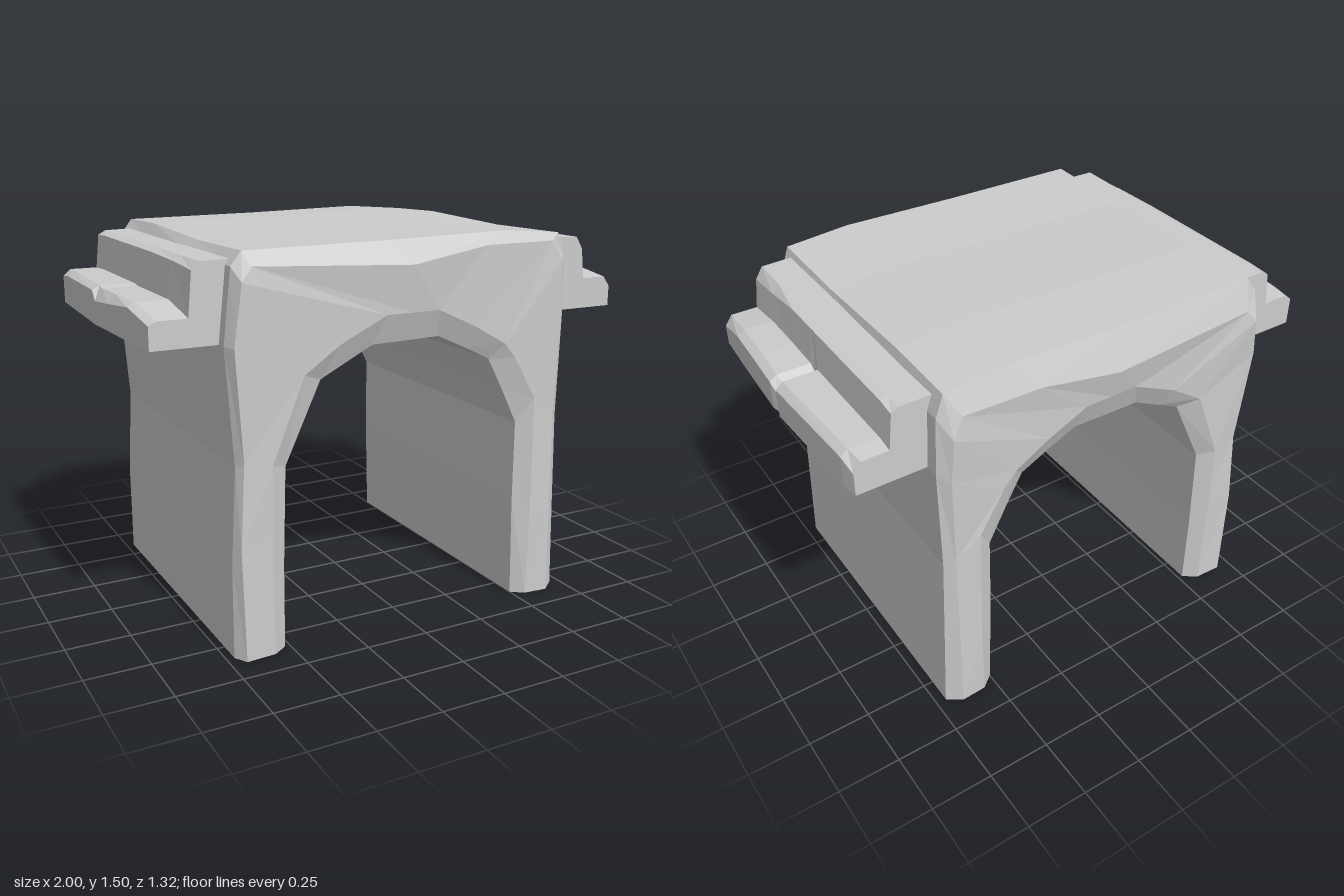
import * as THREE from 'three';

const material = new THREE.MeshStandardMaterial({ color: 0xcccccc, flatShading: true });

// Lofts sections (front to back). Each section pairs an upper edge with a lower edge,
// both running from -x to +x; the two ends are closed with strips between the edges.
function loft(name, sections) {
  const pos = [];
  const tri = (a, b, c) => pos.push(...a, ...b, ...c);
  const quad = (a, b, c, d) => { tri(a, b, c); tri(a, c, d); };
  const loops = sections.map(s => [...s.upper, ...[...s.lower].reverse()]);
  for (let k = 0; k < loops.length - 1; k++) {
    const A = loops[k], B = loops[k + 1], n = A.length;
    for (let i = 0; i < n; i++) {
      const j = (i + 1) % n;
      quad(A[i], A[j], B[j], B[i]);
    }
  }
  const first = sections[0], last = sections[sections.length - 1];
  for (let i = 0; i < first.upper.length - 1; i++) {
    quad(first.upper[i], first.lower[i], first.lower[i + 1], first.upper[i + 1]);
    quad(last.upper[i + 1], last.lower[i + 1], last.lower[i], last.upper[i]);
  }
  const geometry = new THREE.BufferGeometry();
  geometry.setAttribute('position', new THREE.Float32BufferAttribute(pos, 3));
  geometry.computeVertexNormals();
  const mesh = new THREE.Mesh(geometry, material);
  mesh.name = name;
  return mesh;
}

const atZ = (points, z) => points.map(([x, y]) => [x, y, z]);

// Worn stone arch: full-width body with narrower, chamfered end faces
function buildArch() {
  const outer = [[-0.72, 0], [-0.72, 0.35], [-0.7, 0.72], [-0.73, 1.15], [-0.7, 1.42],
    [-0.66, 1.47], [-0.1, 1.475], [0.4, 1.485], [0.66, 1.465], [0.69, 1.38],
    [0.7, 1.15], [0.69, 0.73], [0.7, 0.35], [0.71, 0]];
  const inner = [[-0.52, 0], [-0.52, 0.32], [-0.51, 0.7], [-0.37, 1], [-0.27, 1.05],
    [-0.16, 1.105], [-0.02, 1.107], [0.12, 1.11], [0.24, 1.055], [0.35, 1],
    [0.42, 0.87], [0.49, 0.73], [0.49, 0.4], [0.5, 0]];
  // Face edges; the third number is the distance from the centre
  const faceOuter = [[-0.69, 0, 0.645], [-0.7, 0.42, 0.638], [-0.68, 0.74, 0.63],
    [-0.71, 1.15, 0.64], [-0.68, 1.37, 0.645], [-0.64, 1.42, 0.635], [-0.02, 1.39, 0.655],
    [0.3, 1.44, 0.64], [0.61, 1.44, 0.63], [0.65, 1.36, 0.64], [0.66, 1.12, 0.64],
    [0.65, 0.75, 0.63], [0.65, 0.35, 0.638], [0.65, 0, 0.645]];
  const faceInner = [[-0.575, 0], [-0.58, 0.45], [-0.575, 0.72], [-0.45, 1.03],
    [-0.31, 1.125], [-0.12, 1.215], [-0.01, 1.215], [0.1, 1.215], [0.26, 1.14],
    [0.4, 1.06], [0.45, 1], [0.55, 0.83], [0.555, 0.33], [0.55, 0]];
  const crown = dy => outer.map(([x, y]) => [x, y > 1.45 ? y + dy : y]);
  // The back edge is worn lower along the top
  const backOuter = faceOuter.map(([x, y, z]) => [x, y > 1.3 ? y - 0.06 : y, -z - (y > 1.3 ? 0.01 : 0)]);
  return loft('arch', [
    { upper: faceOuter, lower: atZ(faceInner, 0.637) },
    { upper: atZ(outer, 0.595), lower: atZ(inner, 0.6) },
    { upper: atZ(crown(-0.005), 0.2), lower: atZ(inner, 0.2) },
    { upper: atZ(crown(0.012), -0.3), lower: atZ(inner, -0.3) },
    { upper: atZ(crown(0.003), -0.605), lower: atZ(inner, -0.6) },
    { upper: backOuter, lower: atZ(faceInner, -0.64) },
  ]);
}

// Stepped ledge; stations: [z, upper edge y, lower edge y, lower step top y, outermost x]
function buildLedge(name, side, stations) {
  const sections = stations.map(([z, topEdge, lowEdge, stepTop, reach]) => {
    let upper = [[0.66, 1.44], [0.79, 1.437], [0.82, topEdge], [0.835, stepTop],
      [reach - 0.03, stepTop], [reach, lowEdge], [reach, 1.15]];
    let lower = upper.map(([x]) => [x, 1.15]);
    if (side < 0) {
      const flip = pts => pts.map(([x, y]) => [-x, y]).reverse();
      upper = flip(upper);
      lower = flip(lower);
    }
    return { upper: atZ(upper, z), lower: atZ(lower, z) };
  });
  return loft(name, sections);
}

export function createModel() {
  const group = new THREE.Group();
  group.name = 'stoneArch';
  group.add(buildArch());
  group.add(buildLedge('leftLedge', 1, [
    [0.55, 1.39, 1.23, 1.27, 0.97], [0.39, 1.405, 1.27, 1.29, 0.98],
    [0.2, 1.43, 1.27, 1.29, 0.99], [0.05, 1.43, 1.265, 1.285, 0.997],
    [0.015, 1.43, 1.235, 1.26, 0.99], [-0.01, 1.43, 1.265, 1.29, 1],
    [-0.48, 1.43, 1.27, 1.29, 0.98], [-0.55, 1.42, 1.24, 1.28, 0.97],
  ]));
  group.add(buildLedge('rightLedge', -1, [
    [0.55, 1.41, 1.235, 1.25, 0.975], [0.36, 1.42, 1.27, 1.285, 0.985],
    [0.15, 1.425, 1.25, 1.285, 0.993], [0.01, 1.425, 1.24, 1.285, 1],
    [-0.03, 1.425, 1.275, 1.29, 0.998], [-0.45, 1.425, 1.27, 1.29, 0.98],
    [-0.55, 1.42, 1.26, 1.285, 0.975],
  ]));
  return group;
}
